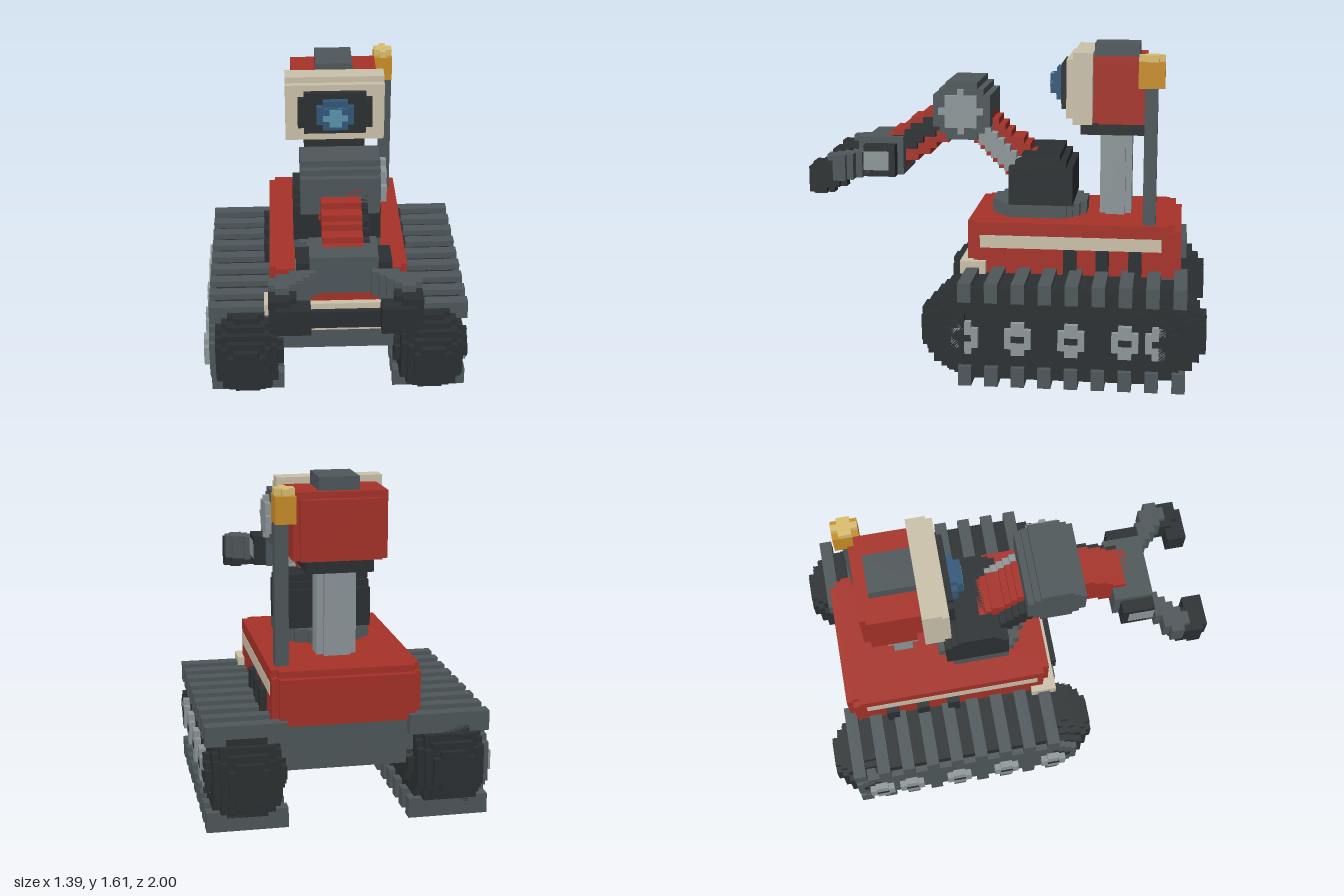
import * as THREE from 'three';
import { mergeGeometries } from 'three/addons/utils/BufferGeometryUtils.js';

// All sizes below are in blocks; the symmetry plane lies half a block to the left of centre.
const U = 2 / 62;
const RED = 0xa83228, DARK = 0x2b3032, GREY = 0x4f585b, LIGHT = 0x8f989b, CREAM = 0xcdc3ad;
const AMBER = 0xcc8f28, PALE = 0xdcc070, BLUE = 0x33587a, SKY = 0x5b93ad;

const block = (x0, x1, y0, y1, z0, z1) => new THREE.BoxGeometry(x1 - x0, y1 - y0, z1 - z0)
  .translate((x0 + x1) / 2 + 0.5, (y0 + y1) / 2, (z0 + z1) / 2).scale(U, U, U);

// Fill a block range wherever rule(x, y, z) holds, merging each run along x.
function fill([x0, x1, y0, y1, z0, z1], rule) {
  const parts = [];
  for (let y = y0; y < y1; y++) for (let z = z0; z < z1; z++) {
    let start = null;
    for (let x = x0; x <= x1; x++) {
      const on = x < x1 && rule(x + 0.5, y + 0.5, z + 0.5);
      if (on && start === null) start = x;
      if (!on && start !== null) {
        parts.push(block(start, x, y, y + 1, z, z + 1));
        start = null;
      }
    }
  }
  return mergeGeometries(parts);
}

// Distance from a 2D point to a segment
function segDist(px, py, [ax, ay], [bx, by]) {
  const dx = bx - ax, dy = by - ay;
  const t = THREE.MathUtils.clamp(((px - ax) * dx + (py - ay) * dy) / (dx * dx + dy * dy || 1), 0, 1);
  return Math.hypot(px - ax - t * dx, py - ay - t * dy);
}
// Rounded bar in the side plane, points given as [z, y]
const bar = (a, b, r) => (x, y, z) => segDist(z, y, a, b) <= r;
const disc = (z0, y0, r) => bar([z0, y0], [z0, y0], r);
// Box with its four vertical edges notched by one block
const notched = (x0, x1, y0, y1, z0, z1) => mergeGeometries([
  block(x0 + 1, x1 - 1, y0, y1, z0, z1), block(x0, x1, y0, y1, z0 + 1, z1 - 1)]);

export function createModel() {
  const model = new THREE.Group();
  const add = (name, color, geometry, parent = model) => {
    const mesh = new THREE.Mesh(geometry,
      new THREE.MeshStandardMaterial({ color, flatShading: true, roughness: 0.8 }));
    mesh.name = name;
    parent.add(mesh);
  };
  const box = (name, color, ...b) => add(name, color, block(...b));
  const shape = (name, color, range, rule) => add(name, color, fill(range, rule));

  // Tracks
  for (const s of [-1, 1]) {
    const track = new THREE.Group();
    track.name = s > 0 ? 'leftTrack' : 'rightTrack';
    model.add(track);
    const span = (a, b) => (s > 0 ? [a, b] : [-b, -a]);
    const face = s > 0 ? 20 : 21;
    add('belt', DARK, fill([...span(9, 21), 1, 15, -31, 12], (x, y, z) => {
      const dz = Math.max(z - 5, -24 - z, 0) / 7, dy = Math.abs(y - 8) / 7;
      const dx = Math.abs(Math.abs(x) - 15);
      return dz > 0 ? dz * dz + dy * dy + (dx / 5.7) ** 4 <= 1 : dx < 5;
    }), track);
    add('sidePlate', GREY, fill([...span(10, face), 3, 13, -29, 10],
      bar([4.5, 8], [-23.5, 8], 5)), track);
    const treads = [];
    for (let i = 0; i < 9; i++) {
      const z = 4 - 4 * i;
      treads.push(block(...span(9, 21), 0, 3, z, z + 2), block(...span(9, 21), 13, 16, z, z + 2));
    }
    add('treads', GREY, mergeGeometries(treads), track);
    const hubs = [], slots = [];
    for (const z of [5, -3, -11, -19, -24]) {
      hubs.push(block(...span(face, face + 1), 6, 9, z - 2, z + 2),
        block(...span(face, face + 1), 5, 10, z - 1, z + 1));
      slots.push(block(...span(face, face + 1.04), 7, 8, z - 1, z + 1));
    }
    add('wheelHubs', LIGHT, mergeGeometries(hubs), track);
    add('hubSlots', DARK, mergeGeometries(slots), track);
  }

  // Chassis, hull and bumper
  box('chassis', GREY, -10, 10, 8, 15, -26, 6);
  box('bellyPlate', DARK, -9, 9, 7.9, 8.2, -23, 5);
  add('hull', RED, mergeGeometries([notched(-11, 11, 15, 22, -27, 6), notched(-11, 11, 22, 23, -26, 6)]));
  box('fender', CREAM, -12, 12, 15, 17, 3, 7);
  box('fenderLower', CREAM, -11, 11, 14, 15, 3, 7);
  box('fenderLip', CREAM, -8, 8, 12, 14, 4, 7);
  box('bumperPlate', DARK, -7, 7, 13, 16, 6, 8);
  for (const s of [-1, 1]) {
    const span = (a, b) => (s > 0 ? [a, b] : [-b, -a]);
    box('sideStripe', CREAM, ...span(10, 11.06), 19, 21, -24, 4);
    for (const z of [-11, -16, -21]) box('sideVent', DARK, ...span(10, 12), 15, 19, z, z + 2);
    box('bumperBracket', GREY, ...span(7, 9), 11, 14, 5, 7.5);
  }

  // Turret
  shape('turretRing', GREY, [-7, 7, 23, 25, -12, 3], (x, y, z) => Math.hypot(x, z + 4.5) < 7.8);
  shape('turretHousing', DARK, [-7, 7, 25, 34, -11, 1],
    (x, y, z) => Math.hypot(z + 5, y - 28) <= 5.5 || (y < 28 && Math.abs(z + 5) < 5));

  // Arm
  shape('lowerArm', RED, [-3, 3, 26, 43, -6, 11], bar([-2, 30.5], [7, 39], 2.6));
  shape('lowerArmRod', LIGHT, [3, 5, 27, 43, -4, 11], bar([-1, 30.5], [7, 38.5], 1.3));
  shape('lowerArmRodInner', DARK, [-5, -3, 27, 43, -4, 11], bar([-1, 30.5], [7, 38.5], 1.3));
  shape('elbow', GREY, [-6, 6, 35, 44, 3, 12], disc(7.5, 39.5, 4.6));
  shape('elbowCap', LIGHT, [6, 7, 36, 43, 4, 11], disc(7.5, 39.5, 3));
  shape('upperArm', RED, [-3, 3, 28, 44, 5, 22], bar([8, 39], [18.5, 32.5], 2.7));
  shape('upperArmRod', DARK, [2, 4, 28, 44, 5, 22], bar([8, 39.5], [18, 33.5], 1.3));

  // Wrist and claws
  box('wrist', GREY, -5, 5, 29, 35, 17, 23);
  for (const s of [-1, 1]) {
    const span = (a, b) => (s > 0 ? [a, b] : [-b, -a]);
    box('wristPivot', DARK, ...span(5, 7), 29, 34, 18, 23);
    box('wristCap', LIGHT, ...span(6.5, 7.06), 30, 33, 19, 23);
    const claw = (a, b, r) => (x, y, z) => segDist(Math.abs(x), z, a, b) <= r;
    shape('clawArm', GREY, [...span(4, 11), 29, 33, 22, 28], claw([6, 23.5], [9, 26], 1.6));
    shape('clawKnuckle', DARK, [...span(7, 11), 28, 32, 25, 30], claw([9.2, 27], [9.2, 28.5], 1.8));
    shape('clawTip', DARK, [...span(5, 11), 27, 31, 27, 31], claw([9, 29], [6.4, 29.5], 1.7));
  }

  // Mast and camera head
  add('mast', LIGHT, notched(-3, 3, 23, 36, -19, -14));
  box('neck', DARK, -5, 5, 36, 38, -21, -11);
  add('headShell', RED, mergeGeometries([notched(-7, 7, 38, 47, -22, -13), block(-7, 7, 47, 48, -21, -13)]));
  box('headCap', GREY, -3, 3, 48, 50, -20, -13);
  box('headFrame', CREAM, -8, 8, 38, 49, -13, -10);
  box('headFrameFront', CREAM, -8, 8, 39, 48, -10, -9);
  add('visor', DARK, mergeGeometries([block(-6, 6, 41, 46, -9.5, -8), block(-5, 5, 40, 47, -9.5, -8)]));
  add('lens', BLUE, mergeGeometries([block(-3, 3, 42, 45, -8, -7), block(-2, 2, 41, 46, -8, -7),
    block(-2, 2, 42, 45, -7, -6)]));
  add('lensGlint', SKY, mergeGeometries([block(-2, 2, 43, 44, -6.5, -5.95), block(-1, 1, 42, 45, -6.5, -5.95)]));

  // Beacon
  box('beaconPole', GREY, 8, 10, 23, 44, -23, -21);
  box('beacon', AMBER, 7, 10, 44, 48, -24, -20);
  add('beaconTop', PALE, mergeGeometries([block(8, 9, 48, 49, -24, -20), block(7, 10, 48, 49, -23, -21)]));

  return model;
}
